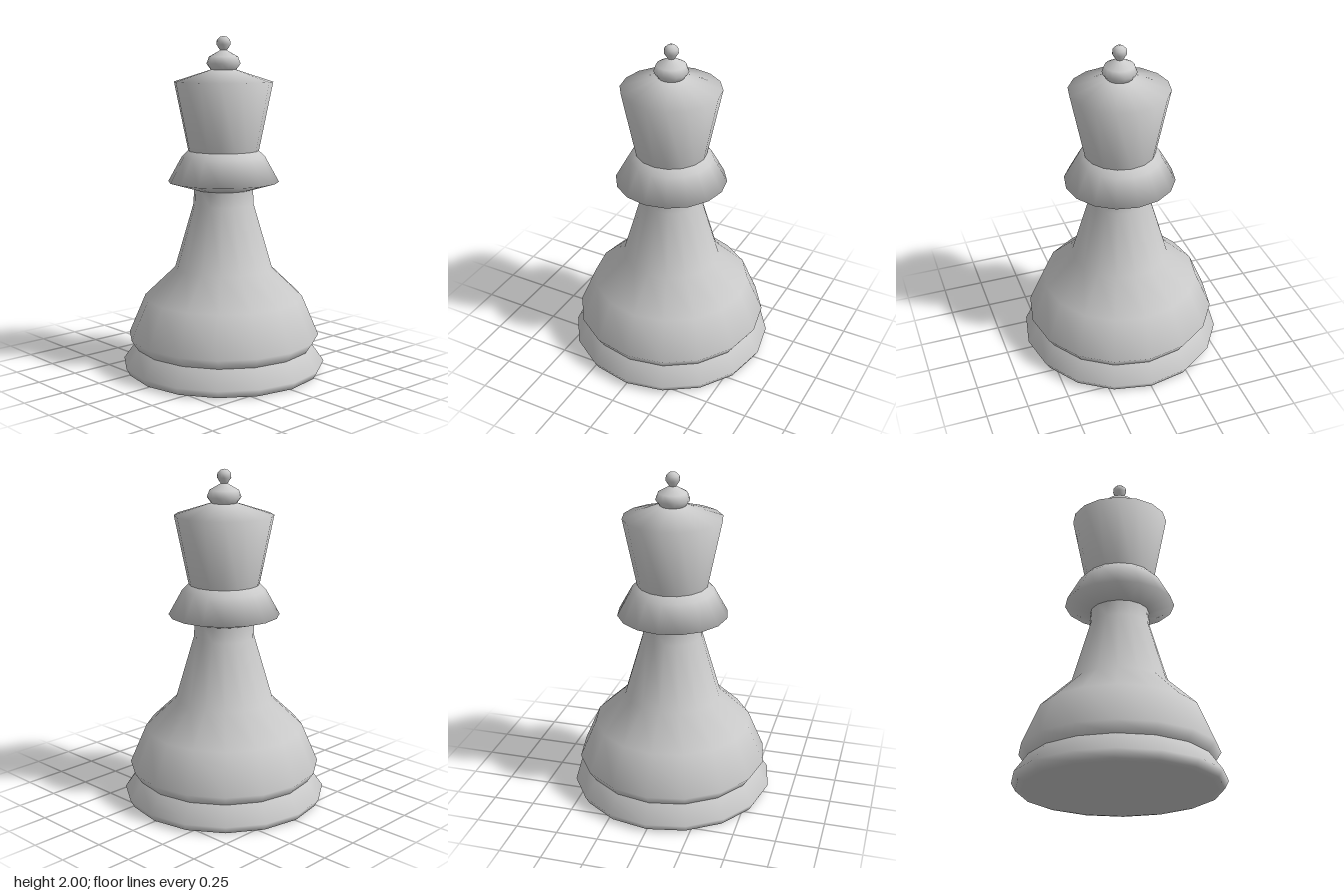
import * as THREE from 'three';

const SIDES = 16;

// Turned sections, bottom to top, each a list of [radius, height]
const sections = {
  base: [[0, 0], [0.55, 0], [0.585, 0.005], [0.61, 0.05], [0.535, 0.155]],
  body: [[0.535, 0.155], [0.575, 0.215], [0.475, 0.45], [0.292, 0.625], [0.18, 1.01], [0.176, 1.1]],
  collar: [[0.176, 1.1], [0.33, 1.145], [0.247, 1.295], [0.21, 1.33]],
  crown: [[0.21, 1.33], [0.292, 1.735], [0.075, 1.805]],
  crownCap: [[0.075, 1.805], [0.1, 1.84], [0.085, 1.88], [0.02, 1.917]],
  topBead: [[0.02, 1.917], [0.041, 1.95], [0.039, 1.977], [0.022, 1.994], [0, 2]],
};

export function createModel() {
  const model = new THREE.Group();
  model.name = 'chessPiece';
  const material = new THREE.MeshStandardMaterial({ color: 0xcccccc });

  // Spin every section around the vertical axis
  for (const [name, profile] of Object.entries(sections)) {
    const points = profile.map(([r, y]) => new THREE.Vector2(r, y));
    const mesh = new THREE.Mesh(new THREE.LatheGeometry(points, SIDES), material);
    mesh.name = name;
    model.add(mesh);
  }
  return model;
}
